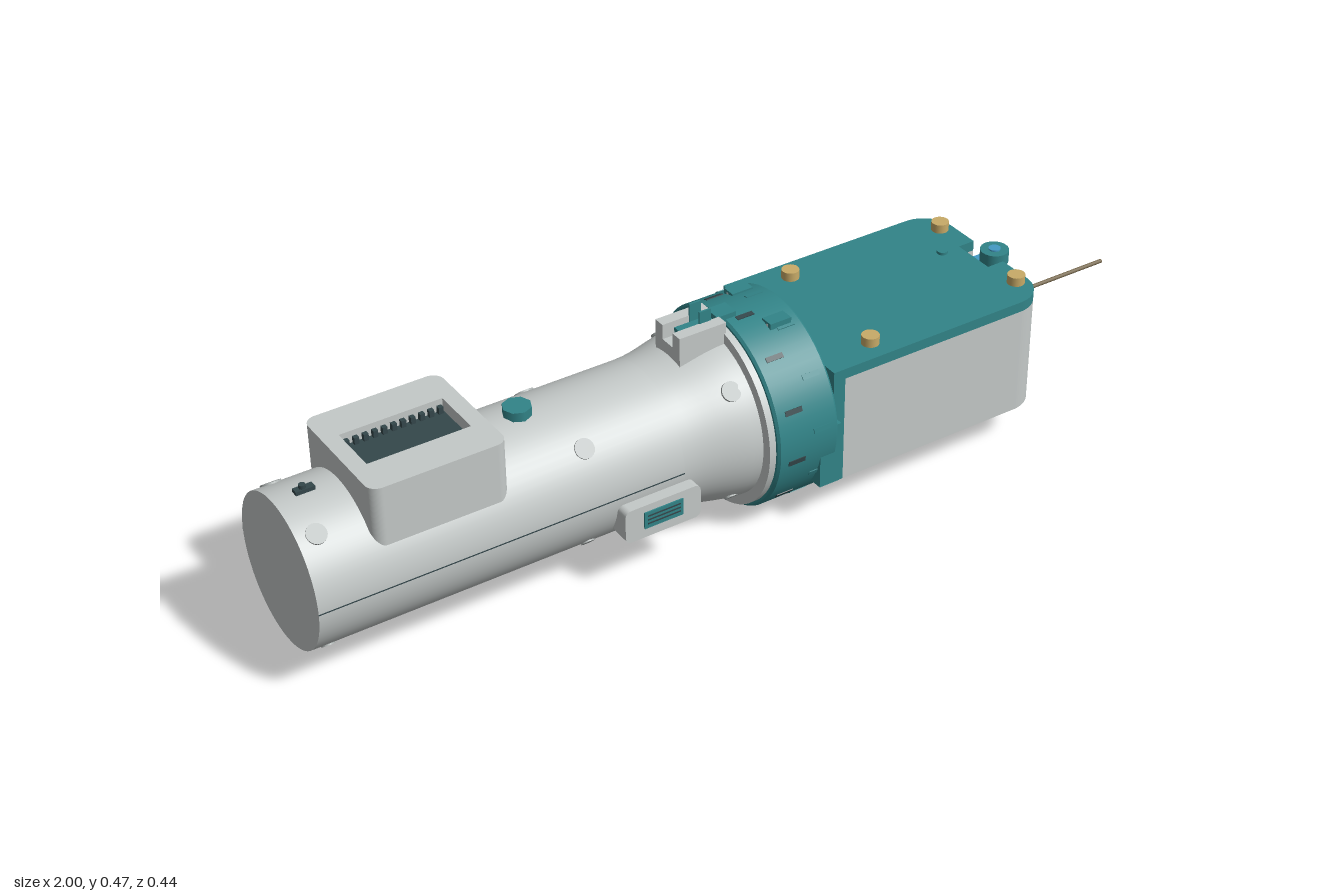
import * as THREE from 'three';

const mat = (name, color) => {
  const m = new THREE.MeshStandardMaterial({ color });
  m.name = name;
  return m;
};

export function createModel() {
  const root = new THREE.Group();
  root.name = 'handheldTool';
  const grey = mat('shell grey', 0xc4c9c8);
  const teal = mat('teal plastic', 0x328488);
  const gold = mat('brass', 0xc8ab68);
  const blue = mat('blue holder', 0x4499c4);
  const dark = mat('dark screen', 0x34474b);
  const hole = mat('hole grey', 0xa9afae);
  const wire = mat('needle bronze', 0x77684c);
  const CY = 0.22; // height of the long axis

  const add = (name, geo, material, x = 0, y = 0, z = 0) => {
    const m = new THREE.Mesh(geo, material);
    m.name = name;
    m.position.set(x, y, z);
    root.add(m);
    return m;
  };
  // box given by its limits
  const box = (name, material, x0, x1, y0, y1, z0, z1) =>
    add(name, new THREE.BoxGeometry(x1 - x0, y1 - y0, z1 - z0), material,
      (x0 + x1) / 2, (y0 + y1) / 2, (z0 + z1) / 2);
  // upright cylinder
  const post = (name, material, x, y0, y1, z, r, n = 24) =>
    add(name, new THREE.CylinderGeometry(r, r, y1 - y0, n), material, x, (y0 + y1) / 2, z);
  // cylinder along x
  const rod = (name, material, x0, x1, y, z, r, n = 48) =>
    add(name, new THREE.CylinderGeometry(r, r, x1 - x0, n).rotateZ(-Math.PI / 2), material, (x0 + x1) / 2, y, z);
  // profile [radius, x] turned around the long axis, each segment keeping sharp ends
  const turned = (name, material, pts) => {
    for (let i = 0; i < pts.length - 1; i++) {
      const seg = [pts[i], pts[i + 1]].map(([r, x]) => new THREE.Vector2(r, x));
      add(name, new THREE.LatheGeometry(seg, 64).rotateZ(-Math.PI / 2), material, 0, CY, 0);
    }
  };
  // plan outline standing upright between two heights
  const slab = (name, material, shape, y0, y1) =>
    add(name, new THREE.ExtrudeGeometry(shape, { depth: y1 - y0, bevelEnabled: false, curveSegments: 10 })
      .rotateX(-Math.PI / 2), material, 0, y0, 0);
  const roundRect = (w, h, r) => {
    const s = new THREE.Shape();
    s.moveTo(-w + r, -h);
    s.lineTo(w - r, -h).absarc(w - r, -h + r, r, -Math.PI / 2, 0);
    s.absarc(w - r, h - r, r, 0, Math.PI / 2);
    s.absarc(-w + r, h - r, r, Math.PI / 2, Math.PI);
    s.absarc(-w + r, -h + r, r, Math.PI, Math.PI * 1.5);
    return s;
  };

  // --- handle: straight tube flaring into a collar
  turned('handle', grey, [[0, -1], [0.16, -1], [0.16, -0.2]]);
  const flare = [];
  for (let i = 0; i <= 8; i++) {
    const t = i / 8;
    flare.push(new THREE.Vector2(0.16 + 0.025 * t * t * (3 - 2 * t), -0.2 + 0.17 * t));
  }
  add('handleFlare', new THREE.LatheGeometry(flare, 64).rotateZ(-Math.PI / 2), grey, 0, CY, 0);
  turned('collar', grey, [[0.18, -0.03], [0.208, -0.03], [0.208, -0.012]]);
  for (const s of [-1, 1]) box('seam', dark, -1, -0.2, CY - 0.0012, CY + 0.0012, s * 0.16 - 0.0006, s * 0.16 + 0.0006);

  // screw holes in four rows round the handle
  for (const [x, r, a] of [[-0.96, 0.16, 0.63], [-0.4, 0.16, 0.8], [-0.07, 0.181, 0.79]])
    for (const s of [-1, 1]) for (const v of [-1, 1]) {
      const d = new THREE.Vector3(0, v * Math.cos(a), s * Math.sin(a));
      const m = add('screwHole', new THREE.CylinderGeometry(v > 0 ? 0.021 : 0.014, v > 0 ? 0.021 : 0.014, 0.005, 20),
        hole, x, CY + d.y * r, d.z * r);
      m.quaternion.setFromUnitVectors(new THREE.Vector3(0, 1, 0), d);
    }

  // --- display housing with recessed screen
  const frame = roundRect(0.145, 0.138, 0.025);
  const win = new THREE.Path();
  win.moveTo(-0.11, -0.056).lineTo(-0.11, 0.056).lineTo(0.11, 0.056).lineTo(0.11, -0.056).closePath();
  frame.holes.push(win);
  slab('displayHousing', grey, frame, 0.28, 0.432).position.x = -0.72;
  box('screen', dark, -0.83, -0.61, 0.38, 0.405, -0.056, 0.056);
  for (let i = 0; i < 11; i++)
    for (const s of [-1, 1]) box('screenPin', dark, -0.824 + i * 0.02, -0.814 + i * 0.02, 0.4, 0.42, s * 0.05 - 0.005, s * 0.05 + 0.005);

  // --- handle controls
  box('rearPeg', dark, -0.955, -0.915, 0.37, 0.388, -0.008, 0.008);
  post('rearPegTip', dark, -0.938, 0.38, 0.396, 0, 0.007, 10);
  post('button', teal, -0.48, 0.37, 0.398, 0, 0.03, 8);
  add('sidePort', new THREE.ExtrudeGeometry(roundRect(0.0875, 0.038, 0.014), { depth: 0.065, bevelEnabled: false }),
    grey, -0.267, 0.163, 0.12);
  box('portInsert', teal, -0.312, -0.222, 0.147, 0.185, 0.18, 0.188);
  for (const y of [0.158, 0.167, 0.176]) box('portSlot', dark, -0.305, -0.229, y - 0.0015, y + 0.0015, 0.185, 0.189);

  // --- latch on top of the flare
  for (const s of [-1, 1]) {
    box('latchCheek', grey, -0.135, -0.025, 0.36, 0.448, s * 0.031 - 0.013, s * 0.031 + 0.013);
    box('latchProng', teal, -0.072, -0.045, 0.43, 0.475, s * 0.018 - 0.002, s * 0.018 + 0.002);
  }
  box('latchBase', grey, -0.135, -0.025, 0.36, 0.415, -0.02, 0.02);
  box('latchSlider', teal, -0.11, 0.02, 0.415, 0.436, -0.014, 0.014);
  box('latchCatch', teal, -0.03, 0.015, 0.42, 0.448, -0.02, 0.02);

  // --- coupling ring, hollow towards the head
  turned('couplingRing', teal, [[0.15, -0.015], [0.213, -0.015], [0.218, -0.01], [0.218, 0.125],
    [0.214, 0.13], [0.194, 0.13], [0.194, 0.05]]);
  turned('ringGap', grey, [[0.194, 0.05], [0.186, 0.05]]);
  turned('innerHub', teal, [[0.189, 0.05], [0.189, 0.1], [0.172, 0.1], [0.172, 0.085], [0, 0.085]]);
  for (let i = 0; i < 24; i++) {
    const g = new THREE.Group();
    g.name = 'ringRib';
    const rib = new THREE.Mesh(new THREE.BoxGeometry(0.04, 0.004, 0.011), i % 2 ? teal : dark);
    rib.position.set(i % 2 ? 0.09 : 0.03, 0.2175, 0);
    g.add(rib);
    g.position.y = CY;
    g.rotation.x = ((i + 0.5) / 24) * Math.PI * 2;
    root.add(g);
  }
  for (const s of [-1, 1]) for (const v of [-1, 1]) {
    const y = CY + v * 0.208;
    box('ringTab', teal, 0.055, 0.105, y - 0.007, y + 0.007, s * 0.068 - 0.015, s * 0.068 + 0.015);
  }
  for (const s of [-1, 1]) for (const v of [-1, 1])
    post('ringScrew', grey, 0.062, CY + v * 0.204 - 0.006, CY + v * 0.204 + 0.006, s * 0.07, 0.008, 12);
  box('ringClip', teal, 0.09, 0.14, 0.1, 0.24, 0.18, 0.213);

  // --- head: plan outline with optional notches at the back and front
  const plan = (x0, x1, back, front) => {
    const w = 0.198, r = 0.07, s = new THREE.Shape();
    s.moveTo(x0, -w);
    s.lineTo(x1 - r, -w).absarc(x1 - r, -w + r, r, -Math.PI / 2, 0);
    if (front) s.lineTo(x1, -0.05).lineTo(x1 - front, -0.05).lineTo(x1 - front, 0.05).lineTo(x1, 0.05);
    s.absarc(x1 - r, w - r, r, 0, Math.PI / 2);
    s.lineTo(x0, w);
    if (back) s.lineTo(x0, 0.045).lineTo(x0 + back, 0.045).lineTo(x0 + back, -0.045).lineTo(x0, -0.045);
    s.closePath();
    return s;
  };
  slab('headLower', grey, plan(0.158, 0.675, 0.007, 0), 0.087, CY);
  slab('headUpper', grey, plan(0.158, 0.675, 0.007, 0.04), CY, 0.332);
  slab('headLid', teal, plan(0.13, 0.675, 0.035, 0.04), 0.332, 0.355);
  for (const s of [-1, 1]) {
    box('headBackPlate', teal, 0.13, 0.158, 0.087, 0.332, Math.min(s * 0.045, s * 0.198), Math.max(s * 0.045, s * 0.198));
    box('headBracket', teal, 0.08, 0.135, 0.13, 0.31, s * 0.1 - 0.04, s * 0.1 + 0.04);
  }

  // head fasteners
  for (const [x, z] of [[0.265, -0.148], [0.645, -0.13], [0.645, 0.13], [0.255, 0.148]])
    post('lidScrew', gold, x, 0.35, 0.375, z, 0.019, 20);
  post('lidStud', teal, 0.59, 0.35, 0.361, -0.05, 0.012, 16);
  for (const s of [-1, 1]) {
    post('bottomScrew', gold, 0.2, 0.08, 0.09, s * 0.05, 0.019, 6);
    post('bottomScrewSocket', dark, 0.2, 0.079, 0.082, s * 0.05, 0.008, 6);
  }

  // slide switch on the back of the head
  add('switchPlate', new THREE.ExtrudeGeometry(roundRect(0.035, 0.016, 0.014), { depth: 0.009, bevelEnabled: false }),
    grey, 0.27, 0.15, -0.206);
  box('switchSlot', dark, 0.252, 0.288, 0.143, 0.157, -0.208, -0.2);
  box('switchKnob', grey, 0.262, 0.276, 0.144, 0.156, -0.218, -0.2);

  // --- nose: blue holder, brass disc, needle and thumb knob
  rod('holder', blue, 0.64, 0.707, CY - 0.002, 0, 0.081);
  rod('brassDisc', gold, 0.707, 0.728, CY, 0, 0.074);
  for (let i = 0; i < 6; i++) {
    const a = (i * Math.PI) / 3;
    rod('discPin', blue, 0.7, 0.731, CY + Math.sin(a) * 0.069, Math.cos(a) * 0.069, 0.007, 12);
  }
  box('holderLug', blue, 0.64, 0.708, 0.28, 0.313, -0.042, 0.024);
  box('lugTip', blue, 0.66, 0.7, 0.3, 0.323, -0.042, -0.015);
  box('lugBack', teal, 0.636, 0.66, 0.29, 0.318, -0.048, 0.035);
  post('knobStem', gold, 0.692, 0.305, 0.33, 0, 0.008, 16);
  post('knob', teal, 0.692, 0.327, 0.355, 0, 0.031, 32);
  post('knobCap', blue, 0.692, 0.353, 0.358, 0, 0.013, 16);
  rod('needle', wire, 0.72, 1, CY + 0.001, 0, 0.0045, 12);
  return root;
}
